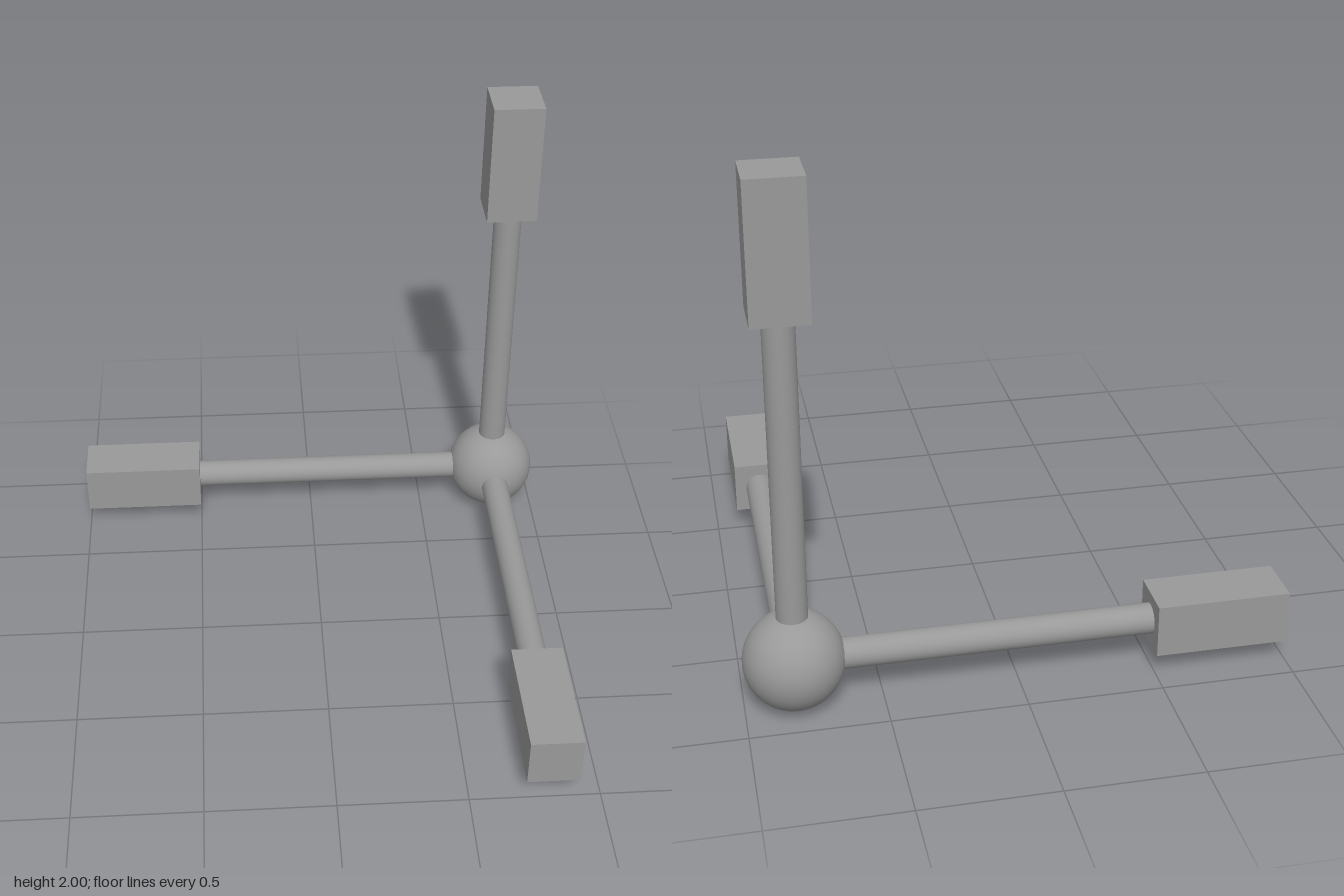
import * as THREE from 'three';

export function createModel() {
  const model = new THREE.Group();
  const material = new THREE.MeshStandardMaterial({ color: 0x999999 });
  const add = (parent, name, geometry) => {
    const mesh = new THREE.Mesh(geometry, material);
    mesh.name = name;
    parent.add(mesh);
    return mesh;
  };

  // Ball joining the three arms at the back left corner
  const hub = new THREE.Vector3(0.816, 0.184, -0.816);
  add(model, 'centreBall', new THREE.SphereGeometry(0.184, 48, 32)).position.copy(hub);

  // Each arm is built along +y from the hub: a round rod ending in a square block
  const reach = 1.816, blockLength = 0.5, blockWidth = 0.203;
  const rodLength = reach - blockLength;
  const makeArm = (name, rx, rz) => {
    const arm = new THREE.Group();
    arm.name = name;
    add(arm, 'rod', new THREE.CylinderGeometry(0.057, 0.057, rodLength, 32)).position.y = rodLength / 2;
    add(arm, 'endBlock', new THREE.BoxGeometry(blockWidth, blockLength, blockWidth)).position.y = reach - blockLength / 2;
    arm.position.copy(hub);
    arm.rotation.set(rx, 0, rz);
    model.add(arm);
  };
  makeArm('upArm', 0, 0);
  makeArm('rightArm', 0, Math.PI / 2);
  makeArm('frontArm', Math.PI / 2, 0);

  return model;
}
